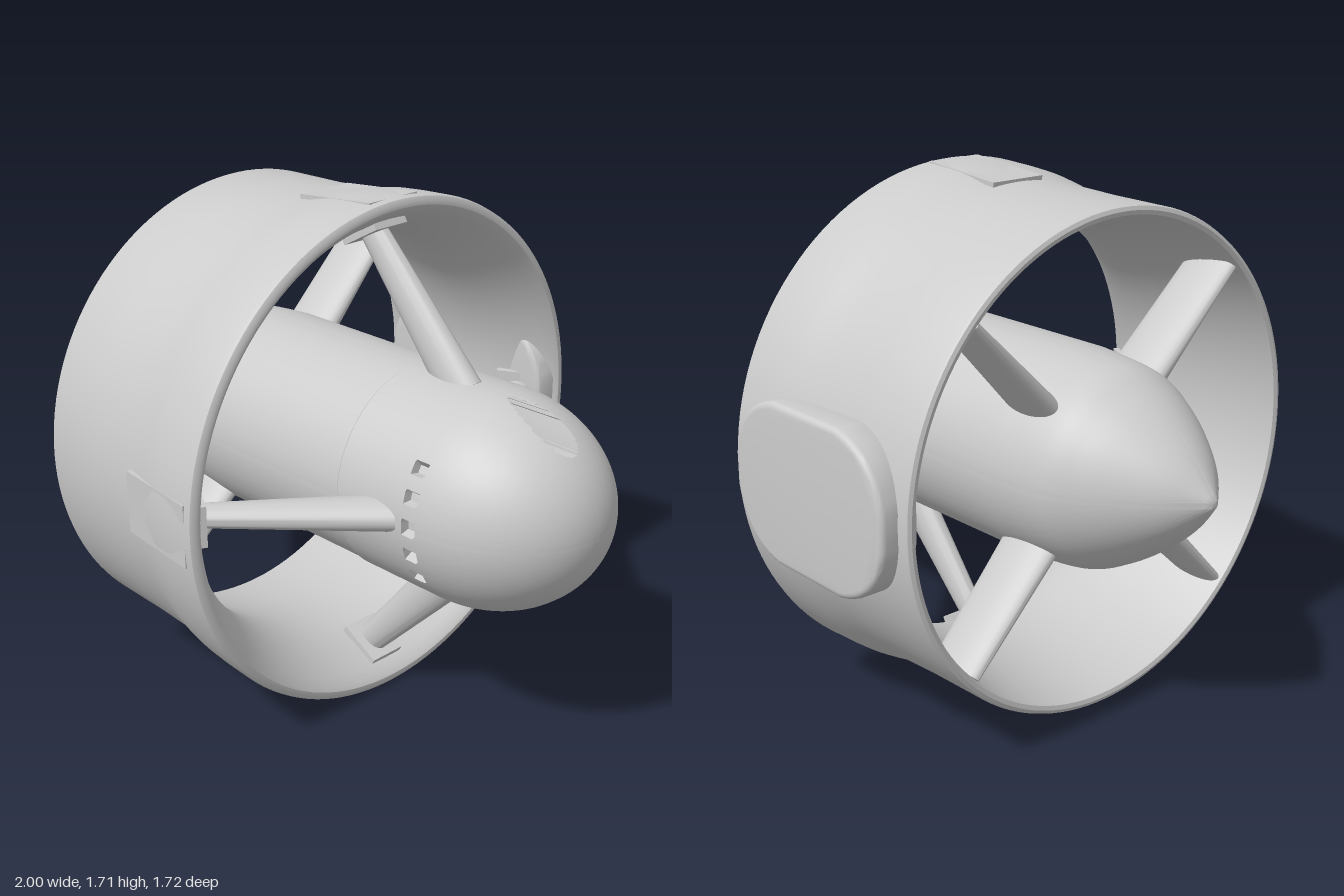
import * as THREE from 'three';
import { toCreasedNormals } from 'three/addons/utils/BufferGeometryUtils.js';

const material = new THREE.MeshStandardMaterial({ color: 0xcccccc });

function addMesh(parent, name, geometry) {
  const mesh = new THREE.Mesh(geometry, material);
  mesh.name = name;
  parent.add(mesh);
  return mesh;
}

// Revolve [x, radius] points about the x axis; x must increase on outward faces
function revolve(points, segments) {
  const profile = points.map(([x, r]) => new THREE.Vector2(r, x));
  return new THREE.LatheGeometry(profile, segments).rotateZ(-Math.PI / 2);
}

// Tapered oval bar between two [x, radius] points; each size is [half chord, half thickness]
function ovalBar(from, to, sizeFrom, sizeTo) {
  const dx = to[0] - from[0], dy = to[1] - from[1];
  const g = new THREE.CylinderGeometry(1, 1, Math.hypot(dx, dy), 28, 1);
  const p = g.attributes.position;
  for (let i = 0; i < p.count; i++) {
    const [a, b] = p.getY(i) > 0 ? sizeTo : sizeFrom;
    p.setX(i, p.getX(i) * a);
    p.setZ(i, p.getZ(i) * b);
  }
  g.rotateZ(Math.atan2(dy, dx) - Math.PI / 2);
  g.translate((from[0] + to[0]) / 2, (from[1] + to[1]) / 2, 0);
  return toCreasedNormals(g, 0.7);
}

function createHub() {
  // Pointed tail, straight barrel with a seam, elliptical nose
  const tail = new THREE.SplineCurve([[-0.985, 0.03], [-0.9, 0.13], [-0.8, 0.215], [-0.7, 0.28],
    [-0.595, 0.325], [-0.4, 0.345]].map(([x, r]) => new THREE.Vector2(x, r)));
  const points = [[-1, 0], [-0.997, 0.015], ...tail.getPoints(30).map(v => [v.x, v.y]),
    [0.265, 0.345], [0.268, 0.341], [0.272, 0.35], [0.546, 0.35], [0.549, 0.35], [0.575, 0.35]];
  for (let i = 1; i <= 64; i++) {
    const a = (i / 64) * Math.PI / 2;
    points.push([0.58 + 0.42 * Math.sin(a), 0.35 * Math.cos(a)]);
  }
  const g = revolve(points, 240);
  const p = g.attributes.position;
  for (let i = 0; i < p.count; i++) {
    const x = p.getX(i), y = p.getY(i), z = p.getZ(i);
    // Two round bores running back into the nose
    if (x > 0.59 && Math.hypot(Math.abs(y) - 0.288, z) < 0.056) p.setX(i, 0.6);
    // Row of five small ports on the front side
    const port = Math.atan2(y, z) / 0.265;
    const k = Math.round(port);
    if (Math.abs(k) <= 2 && Math.abs(port - k) * 0.265 < 0.055 && x > 0.548 && x < 0.6) {
      p.setY(i, y * 0.92);
      p.setZ(i, z * 0.92);
    }
  }
  return toCreasedNormals(g, 0.6);
}

function createDuct() {
  // Outer skin with a flared mouth, rounded lip, then the throat back to the tail end
  const outer = [[-0.595, 0.79], [-0.59, 0.802], [-0.58, 0.806], [-0.35, 0.81], [-0.16, 0.818],
    [-0.11, 0.824], [-0.05, 0.838], [0.0, 0.847], [0.06, 0.852], [0.165, 0.857], [0.182, 0.853]];
  const inner = [[0.19, 0.84], [0.19, 0.826], [0.18, 0.812], [0.15, 0.79], [0.1, 0.762], [0.05, 0.737],
    [0.0, 0.717], [-0.06, 0.703], [-0.13, 0.698], [-0.25, 0.71], [-0.4, 0.738], [-0.58, 0.772],
    [-0.591, 0.776], [-0.595, 0.79]];
  return toCreasedNormals(revolve([...outer, ...inner], 128), 0.6);
}

function createMountPad() {
  const w = 0.345, h = 0.24, c = 0.19;
  const s = new THREE.Shape();
  s.moveTo(-w + c, -h);
  s.lineTo(w - c, -h);
  s.quadraticCurveTo(w - 0.03, -h + 0.03, w, -h + c);
  s.lineTo(w, h - c);
  s.quadraticCurveTo(w - 0.03, h - 0.03, w - c, h);
  s.lineTo(-w + c, h);
  s.quadraticCurveTo(-w + 0.03, h - 0.03, -w, h - c);
  s.lineTo(-w, -h + c);
  s.quadraticCurveTo(-w + 0.03, -h + 0.03, -w + c, -h);
  const g = new THREE.ExtrudeGeometry(s, {
    depth: 0.095, bevelEnabled: true, bevelThickness: 0.02, bevelSize: 0.02, bevelSegments: 4, curveSegments: 12,
  });
  return toCreasedNormals(g.rotateY(Math.PI), 0.6);
}

export function createModel() {
  const model = new THREE.Group();
  model.name = 'ductedThruster';
  const body = new THREE.Group();
  body.name = 'thrusterBody';
  body.position.set(0, 0.857, 0.003);
  model.add(body);

  addMesh(body, 'hub', createHub());
  addMesh(body, 'duct', createDuct());
  addMesh(body, 'mountPad', createMountPad()).position.set(-0.188, 0, -0.75);

  for (let i = 0; i < 4; i++) {
    // Slanted struts from the duct mouth to the nose, each on a small foot
    const fore = new THREE.Group();
    fore.name = 'foreStrut';
    fore.rotation.x = i * Math.PI / 2;
    body.add(fore);
    addMesh(fore, 'strut', ovalBar([0.465, 0.3], [0.05, 0.76], [0.08, 0.052], [0.05, 0.033]));
    const foot = addMesh(fore, 'strutFoot', new THREE.BoxGeometry(0.16, 0.03, 0.135));
    foot.position.set(0.075, 0.74, 0);
    foot.rotation.z = 0.5;

    // Shallow access plates on the outside, except behind the mounting pad
    if (i !== 3) {
      const plate = addMesh(fore, 'accessPlate', new THREE.BoxGeometry(0.312, 0.04, 0.205));
      plate.position.set(0.005, 0.822, 0);
      plate.rotation.z = 0.09;
    }

    // Radial vanes between the tail and the duct
    const vane = new THREE.Group();
    vane.name = 'rearVane';
    vane.rotation.x = (i + 0.5) * Math.PI / 2;
    body.add(vane);
    addMesh(vane, 'vane', ovalBar([-0.47, 0.28], [-0.485, 0.77], [0.11, 0.05], [0.1, 0.03]));
  }
  return model;
}
